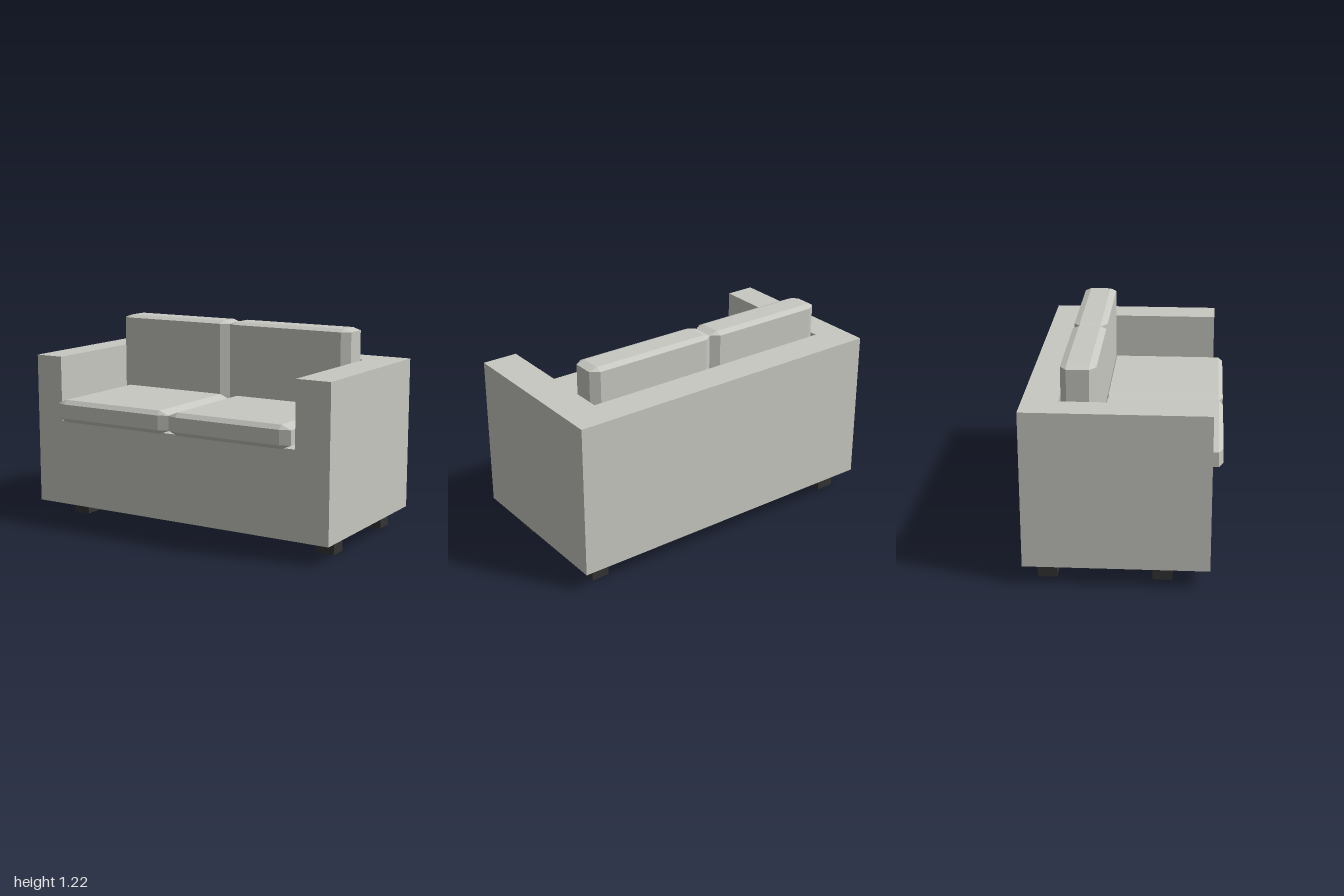
import * as THREE from 'three';
import { ConvexGeometry } from 'three/addons/geometries/ConvexGeometry.js';

const fabric = new THREE.MeshStandardMaterial({ name: 'greyFabric', color: 0xc8c8c2 });
const dark = new THREE.MeshStandardMaterial({ name: 'darkLegs', color: 0x333333 });

function add(group, name, geometry, material) {
  const mesh = new THREE.Mesh(geometry, material);
  mesh.name = name;
  group.add(mesh);
  return mesh;
}

// Box between two corners
function box(min, max) {
  const [w, h, d] = max.map((v, i) => v - min[i]);
  return new THREE.BoxGeometry(w, h, d).translate(min[0] + w / 2, min[1] + h / 2, min[2] + d / 2);
}

// Box between two corners with every edge chamfered, by a different amount per axis
function chamferedBox(min, max, bevel) {
  const points = [];
  for (let axis = 0; axis < 3; axis++) {
    for (let corner = 0; corner < 8; corner++) {
      const p = [0, 1, 2].map((i) => {
        const inset = i === axis ? 0 : bevel[i];
        return (corner >> i) & 1 ? max[i] - inset : min[i] + inset;
      });
      points.push(new THREE.Vector3(...p));
    }
  }
  return new ConvexGeometry(points);
}

export function createModel() {
  const sofa = new THREE.Group();
  sofa.name = 'sofa';

  // Arms and base: one U-shaped section run from front to back
  const section = new THREE.Shape([
    [-1, 0.11], [1, 0.11], [1, 1.02], [0.787, 1.02],
    [0.787, 0.63], [-0.82, 0.63], [-0.82, 1.02], [-1, 1.02],
  ].map(([x, y]) => new THREE.Vector2(x, y)));
  const frame = new THREE.ExtrudeGeometry(section, { depth: 0.84, bevelEnabled: false });
  add(sofa, 'armsAndBase', frame.translate(0, 0, -0.35), fabric);

  // Back panel
  add(sofa, 'backPanel', box([-1, 0.11, -0.55], [1, 1.02, -0.35]), fabric);

  // Seat and back cushions, right then left
  [['right', -0.82, -0.02, -0.035], ['left', -0.02, 0.78, 0.787]].forEach(([side, x0, x1, backX1], i) => {
    const backX0 = i ? -0.035 : -0.82;
    add(sofa, side + 'SeatCushion',
      chamferedBox([x0, 0.631, -0.165], [x1, 0.767, 0.548], [0.06, 0.025, 0.025]), fabric);
    add(sofa, side + 'BackCushion',
      chamferedBox([backX0, 0.632, -0.342], [backX1, 1.217, -0.145], [0.05, 0.016, 0.036]), fabric);
  });

  // Square legs
  const legs = [
    ['frontRightLeg', -0.85, 0.225], ['backRightLeg', -0.85, -0.42],
    ['frontLeftLeg', 0.873, 0.225], ['backLeftLeg', 0.861, -0.42],
  ];
  for (const [name, x, z] of legs) {
    add(sofa, name, new THREE.BoxGeometry(0.11, 0.11, 0.11), dark).position.set(x, 0.055, z);
  }

  return sofa;
}
